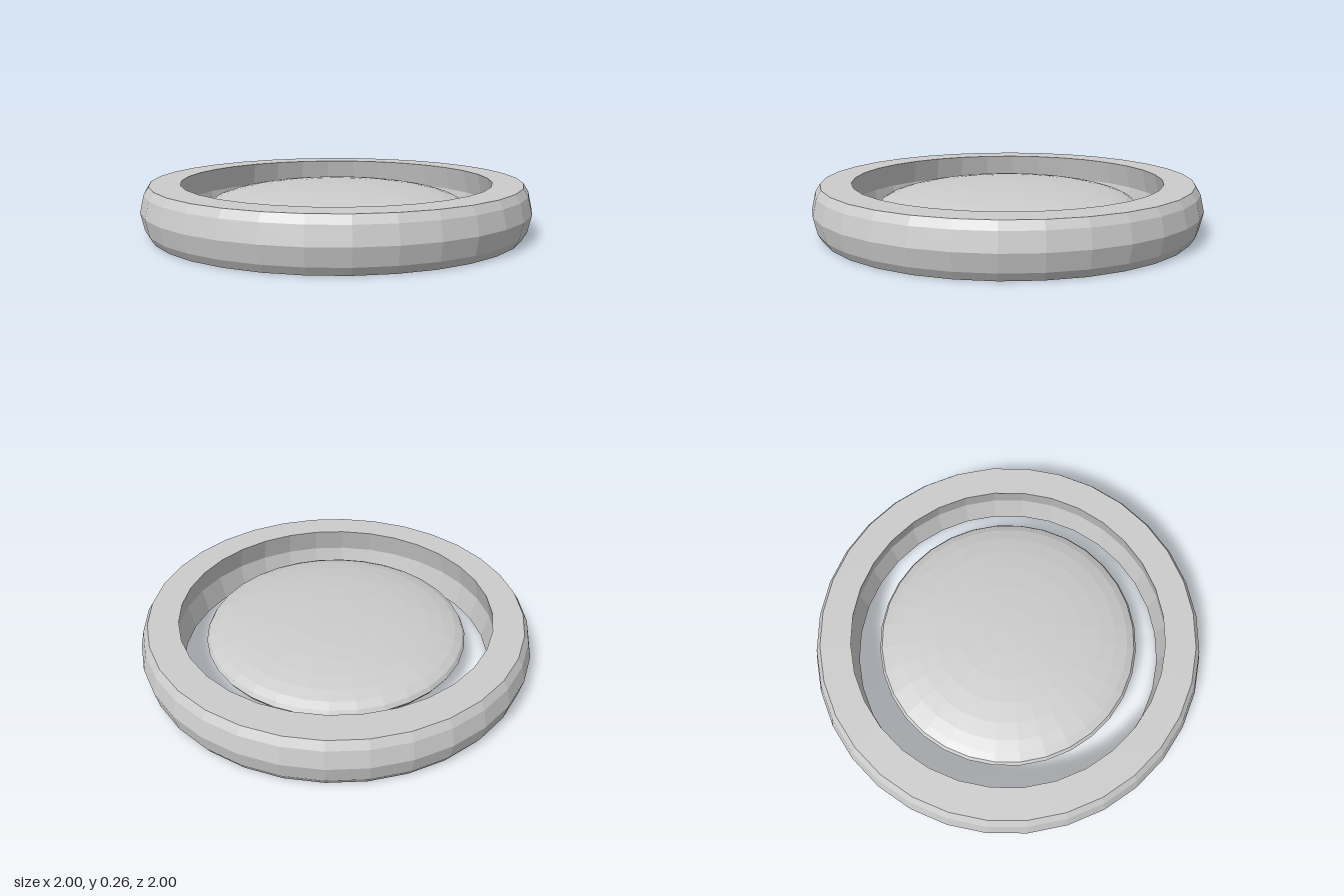
import * as THREE from 'three';

const SIDES = 32;
const HEIGHT = 0.257;

export function createModel() {
  const group = new THREE.Group();
  const material = new THREE.MeshStandardMaterial({ color: 0xcccccc, flatShading: true });

  // Ring: bulging outer wall, flat top and bottom, hollowed inner wall
  const profile = [
    [0.8, 0], [0.955, 0], [0.98, 0.04], [1, HEIGHT / 2], [0.98, HEIGHT - 0.04],
    [0.955, HEIGHT], [0.8, HEIGHT], [0.83, HEIGHT / 2], [0.8, 0],
  ].map(([r, y]) => new THREE.Vector2(r, y));
  const ring = new THREE.Mesh(new THREE.LatheGeometry(profile, SIDES), material);
  ring.name = 'outerRing';
  group.add(ring);

  // Flattened ball floating in the middle of the ring
  const ball = new THREE.SphereGeometry(0.67, SIDES, 16);
  ball.scale(1, 0.11 / 0.67, 1);
  const disc = new THREE.Mesh(ball, material);
  disc.name = 'centreDisc';
  disc.position.y = HEIGHT / 2;
  group.add(disc);

  return group;
}
